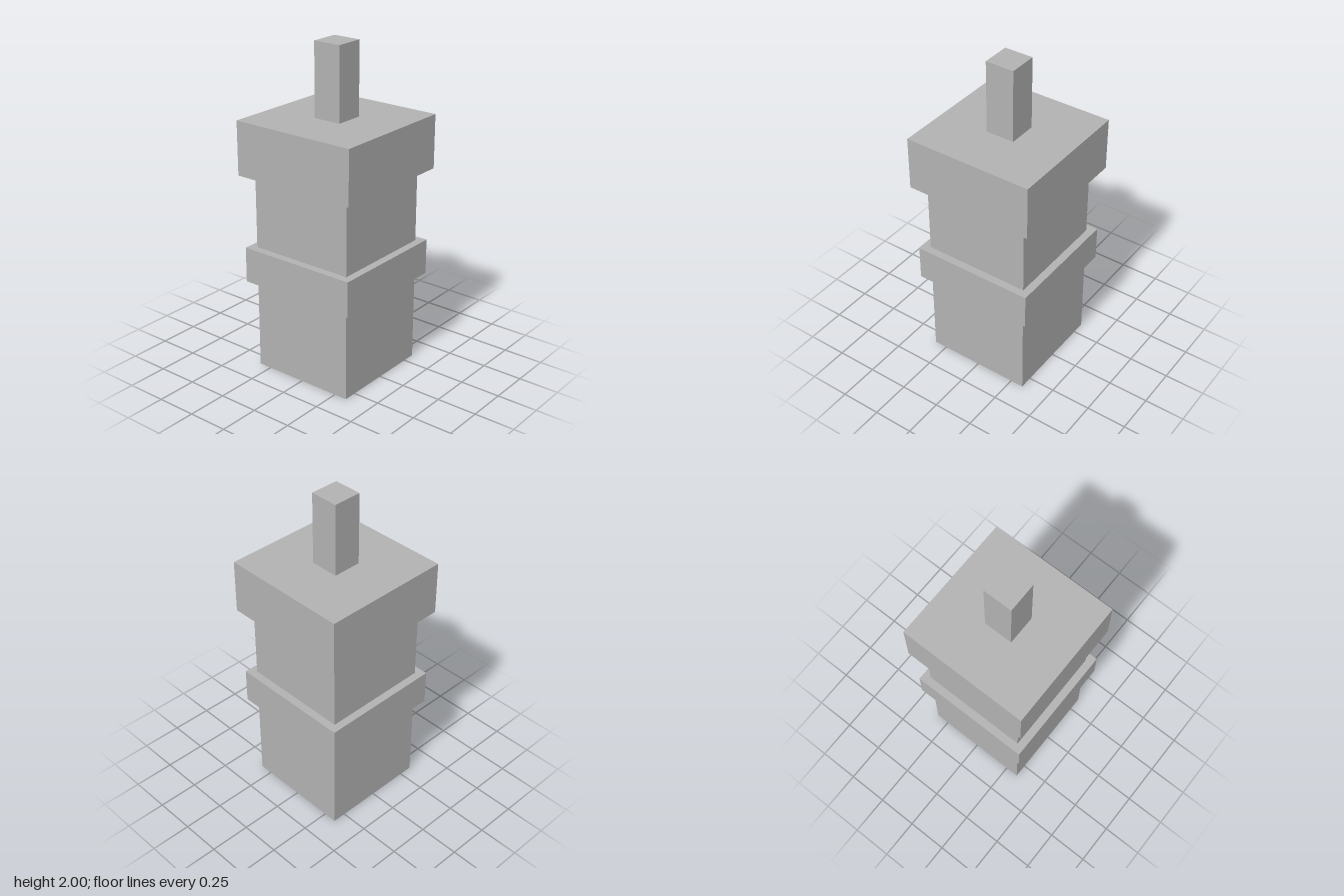
import * as THREE from 'three';

export function createModel() {
  const model = new THREE.Group();
  model.name = 'squareTower';

  const grey = new THREE.MeshStandardMaterial({ color: 0xb2b2b2 });
  grey.name = 'grey';

  // Square block of a given width between two heights
  function addBlock(name, width, bottom, top) {
    const mesh = new THREE.Mesh(new THREE.BoxGeometry(width, top - bottom, width), grey);
    mesh.name = name;
    mesh.position.y = (bottom + top) / 2;
    model.add(mesh);
  }

  // Stacked from the ground up
  addBlock('lowerShaft', 0.664, 0, 0.56);
  addBlock('middleBand', 0.76, 0.56, 0.778);
  addBlock('upperShaft', 0.664, 0.778, 1.228);
  addBlock('cap', 0.8, 1.228, 1.556);
  addBlock('topPost', 0.178, 1.556, 2);

  return model;
}
